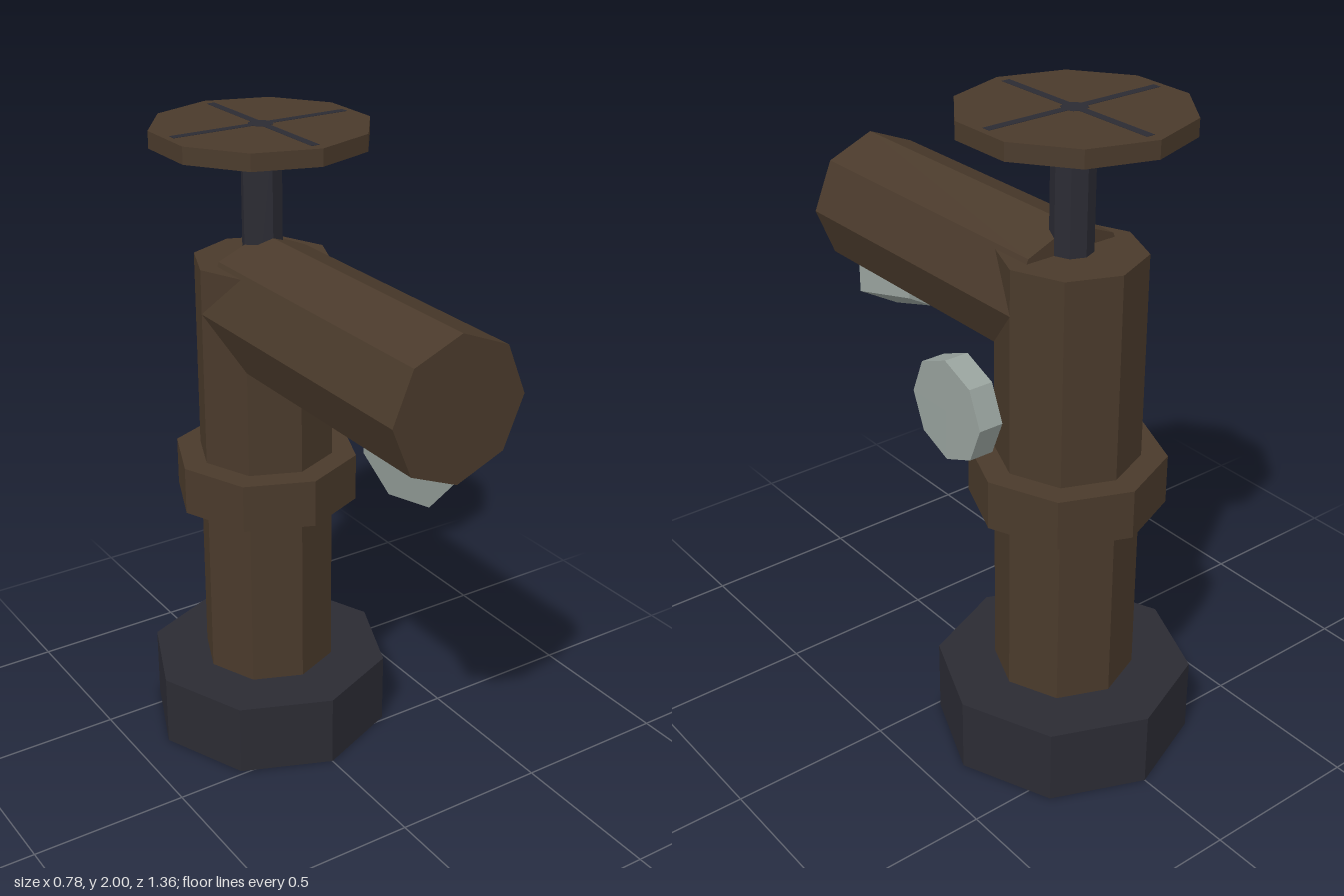
import * as THREE from 'three';

const AXIS_Z = -0.29; // the upright column sits behind the centre

export function createModel() {
  const model = new THREE.Group();
  model.name = 'standpipe';

  const material = (name, color) => {
    const m = new THREE.MeshStandardMaterial({ color, flatShading: true });
    m.name = name;
    return m;
  };
  const brown = material('rusty brown', 0x4a3a2b);
  const dark = material('dark iron', 0x2b2b33);
  const grey = material('pale metal', 0x98a29d);

  const add = (name, geometry, mat, x, y, z) => {
    const mesh = new THREE.Mesh(geometry, mat);
    mesh.name = name;
    mesh.position.set(x, y, z);
    model.add(mesh);
    return mesh;
  };

  // Upright faceted cylinder on the column axis, from y0 to y1
  const upright = (name, radius, y0, y1, sides, mat) =>
    add(name, new THREE.CylinderGeometry(radius, radius, y1 - y0, sides), mat, 0, (y0 + y1) / 2, AXIS_Z);

  // Column
  upright('base', 0.39, 0, 0.235, 8, dark);
  upright('column', 0.213, 0.2, 1.597, 8, brown);
  upright('collar', 0.29, 0.82, 0.972, 8, brown);

  // Handwheel on its stem
  upright('stem', 0.062, 1.5, 1.96, 8, dark);
  upright('handwheel', 0.328, 1.948, 1.999, 10, brown);
  upright('handwheelHub', 0.038, 1.95, 2, 8, dark);
  for (const turn of [0, Math.PI / 2]) {
    const spoke = add('handwheelSpoke', new THREE.BoxGeometry(0.58, 0.053, 0.026), dark, 0, 1.9735, AXIS_Z);
    spoke.rotation.y = turn;
  }

  // Horizontal arm with the flared nozzle under its end
  const arm = new THREE.CylinderGeometry(0.213, 0.213, 0.97, 8).rotateX(Math.PI / 2);
  add('arm', arm, brown, 0, 1.46, 0.195);
  const nozzle = new THREE.CylinderGeometry(0.157, 0.097, 0.195, 6).rotateX(Math.PI / 2);
  add('nozzle', nozzle, grey, 0, 1.287, 0.467);

  // Side dial
  const dial = new THREE.CylinderGeometry(0.155, 0.155, 0.077, 8).rotateZ(-Math.PI / 2);
  add('sideDial', dial, grey, 0.308, 1.17, -0.175);

  return model;
}
